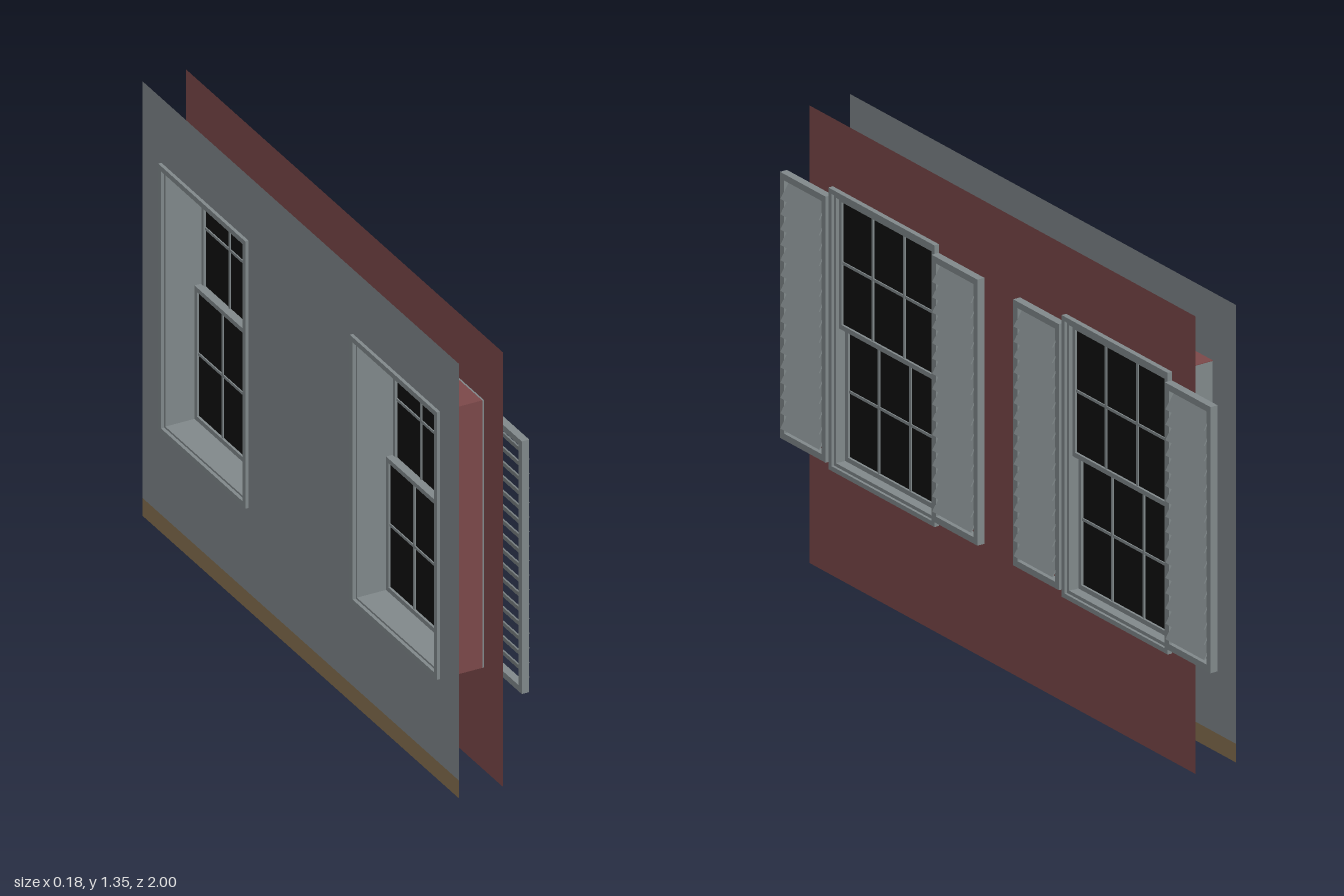
import * as THREE from 'three';

const mat = (name, color, side = THREE.FrontSide) => {
  const m = new THREE.MeshStandardMaterial({ color, side });
  m.name = name;
  return m;
};

// window layout: outer half width, height range and centre
const WIN_Z = 0.541, HALF = 0.246, BOTTOM = 0.317, TOP = 1.145;
const MID = (BOTTOM + TOP) / 2, HEIGHT = TOP - BOTTOM;
const WALL_HALF = 0.895, WALL_TOP = 1.345;
const OUTER_X = 0.055, INNER_X = -0.08;

export function createModel() {
  const root = new THREE.Group();
  root.name = 'wallWithWindows';
  const siding = mat('red siding', 0x7b4849, THREE.DoubleSide);
  const plaster = mat('grey plaster', 0x80868a, THREE.DoubleSide);
  const baseboardMat = mat('tan baseboard', 0x85704f, THREE.DoubleSide);
  const trim = mat('grey trim', 0x80888a);
  const glass = mat('dark glass', 0x0f0f0f);

  const add = (parent, name, geo, material, x = 0, y = 0, z = 0) => {
    const m = new THREE.Mesh(geo, material);
    m.name = name;
    m.position.set(x, y, z);
    parent.add(m);
    return m;
  };
  const box = (parent, name, material, x0, x1, y0, y1, z0, z1) =>
    add(parent, name, new THREE.BoxGeometry(x1 - x0, y1 - y0, z1 - z0), material,
      (x0 + x1) / 2, (y0 + y1) / 2, (z0 + z1) / 2);

  const rect = (Type, cx, cy, w, h) => {
    const p = new Type();
    p.moveTo(cx - w / 2, cy - h / 2);
    p.lineTo(cx + w / 2, cy - h / 2);
    p.lineTo(cx + w / 2, cy + h / 2);
    p.lineTo(cx - w / 2, cy + h / 2);
    p.closePath();
    return p;
  };

  // rectangular frame facing x, centred on y = 0 and z = 0
  const frame = (parent, name, material, x0, x1, w, h, border, y, z) => {
    const s = rect(THREE.Shape, 0, 0, w, h);
    s.holes.push(rect(THREE.Path, 0, 0, w - 2 * border, h - 2 * border));
    const g = new THREE.ExtrudeGeometry(s, { depth: x1 - x0, bevelEnabled: false });
    g.rotateY(Math.PI / 2);
    return add(parent, name, g, material, x0, y, z);
  };

  // thin wall sheets with two window openings
  const wall = (name, material, x, y0) => {
    const s = rect(THREE.Shape, 0, (y0 + WALL_TOP) / 2, WALL_HALF * 2, WALL_TOP - y0);
    for (const side of [-1, 1])
      s.holes.push(rect(THREE.Path, side * WIN_Z, MID, HALF * 2 - 0.02, HEIGHT - 0.02));
    const g = new THREE.ShapeGeometry(s);
    g.rotateY(Math.PI / 2);
    add(root, name, g, material, x);
  };
  const BASE = 0.055;
  wall('outerWall', siding, OUTER_X, 0);
  wall('innerWall', plaster, INNER_X, BASE);
  const strip = new THREE.PlaneGeometry(WALL_HALF * 2, BASE).rotateY(-Math.PI / 2);
  add(root, 'baseboard', strip, baseboardMat, INNER_X, BASE / 2);

  // sash: border, pane and 3 x 2 glazing bars
  const sash = (parent, name, x, y0, y1) => {
    const g = new THREE.Group();
    g.name = name;
    parent.add(g);
    const w = 0.45, h = y1 - y0, cy = (y0 + y1) / 2;
    frame(g, 'sashFrame', trim, x - 0.01, x + 0.01, w, h, 0.014, cy, 0);
    box(g, 'pane', glass, x - 0.003, x + 0.003, y0 + 0.01, y1 - 0.01, -w / 2 + 0.01, w / 2 - 0.01);
    for (const k of [-1, 1])
      box(g, 'verticalBar', trim, x - 0.007, x + 0.007, y0 + 0.01, y1 - 0.01,
        k * 0.073 - 0.004, k * 0.073 + 0.004);
    box(g, 'crossBar', trim, x - 0.0065, x + 0.0065, cy - 0.004, cy + 0.004, -w / 2 + 0.01, w / 2 - 0.01);
  };

  // louvred shutter
  const shutter = (parent, z) => {
    const g = new THREE.Group();
    g.name = 'shutter';
    g.position.z = z;
    parent.add(g);
    frame(g, 'shutterFrame', trim, 0.056, 0.079, 0.212, 0.782, 0.019, 0.729, 0);
    const slat = new THREE.BoxGeometry(0.004, 0.05, 0.178);
    for (let i = 0; i < 16; i++)
      add(g, 'slat', slat, trim, 0.075, 0.394 + i * 0.045).rotation.z = 0.55;
  };

  for (const side of [-1, 1]) {
    const win = new THREE.Group();
    win.name = side > 0 ? 'leftWindow' : 'rightWindow';
    win.position.z = side * WIN_Z;
    root.add(win);

    // deep window box with casings on both faces
    frame(win, 'jamb', trim, INNER_X, 0.05, HALF * 2 - 0.004, HEIGHT - 0.004, 0.02, MID, 0);
    frame(win, 'outerCasing', trim, 0.05, 0.07, HALF * 2, HEIGHT, 0.014, MID, 0);
    frame(win, 'outerCasingStep', trim, 0.05, 0.062, HALF * 2 - 0.02, HEIGHT - 0.02, 0.014, MID, 0);
    frame(win, 'innerCasing', trim, -0.09, INNER_X, HALF * 2, HEIGHT, 0.016, MID, 0);

    // red backing on the top and one side of the box
    box(win, 'boxTop', siding, INNER_X, 0.05, TOP - 0.002, TOP, -HALF, HALF);
    box(win, 'boxSide', siding, INNER_X, 0.05, BOTTOM, TOP - 0.002, HALF - 0.002, HALF);

    sash(win, 'upperSash', 0.041, 0.734, 1.123);
    sash(win, 'lowerSash', 0.02, 0.339, 0.752);

    for (const k of [-1, 1]) shutter(win, k * (HALF + 0.106));
  }
  return root;
}
